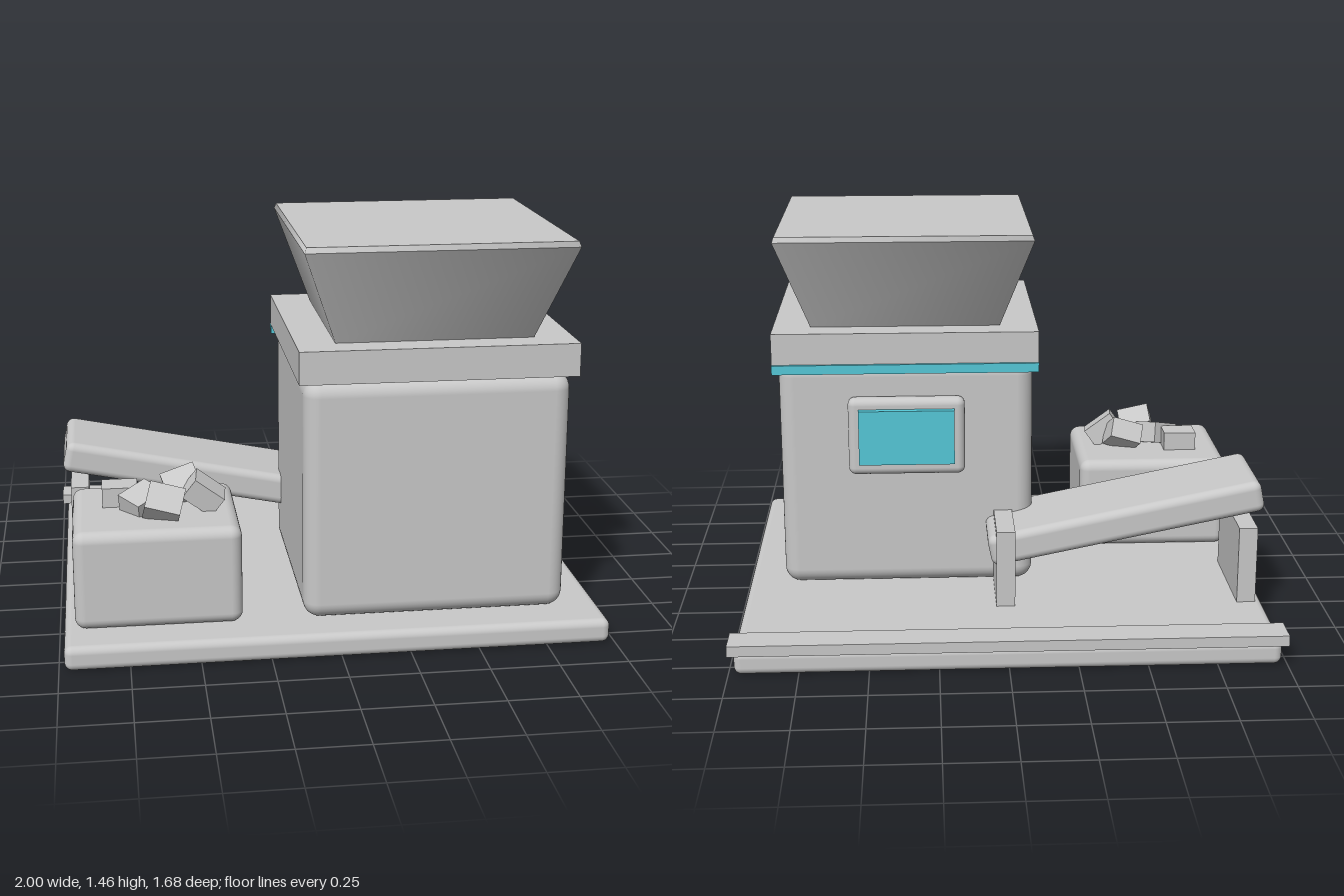
import * as THREE from 'three';
import { RoundedBoxGeometry } from 'three/addons/geometries/RoundedBoxGeometry.js';

export function createModel() {
  const model = new THREE.Group();
  model.name = 'crusherMachine';
  const grey = new THREE.MeshStandardMaterial({ name: 'lightGrey', color: 0xc8c8c8 });
  const cyan = new THREE.MeshStandardMaterial({ name: 'cyan', color: 0x55c8d8 });

  const add = (name, geometry, material, x, y, z) => {
    const mesh = new THREE.Mesh(geometry, material);
    mesh.name = name;
    mesh.position.set(x, y, z);
    model.add(mesh);
    return mesh;
  };
  // Box given by its lower and upper corners, rounded when r > 0
  const block = (name, [x0, y0, z0], [x1, y1, z1], r = 0, material = grey) => {
    const size = [x1 - x0, y1 - y0, z1 - z0];
    const geometry = r ? new RoundedBoxGeometry(...size, 4, r) : new THREE.BoxGeometry(...size);
    return add(name, geometry, material, (x0 + x1) / 2, (y0 + y1) / 2, (z0 + z1) / 2);
  };

  // Floor plate and rear rail
  block('basePlate', [-0.98, 0, -0.825], [0.98, 0.09, 0.84], 0.028);
  block('rearRail', [-1, 0.08, -0.84], [1, 0.12, -0.72]);

  // Main housing with collar and accent strip
  block('housing', [-0.12, 0.09, -0.2], [0.84, 0.98, 0.71], 0.06);
  block('collar', [-0.14, 0.975, -0.22], [0.86, 1.095, 0.72]);
  block('accentStrip', [-0.14, 0.942, -0.232], [0.86, 0.977, -0.195], 0, cyan);

  // Four-sided hopper and its bevelled rim
  const frustum = (top, bottom, height) =>
    new THREE.CylinderGeometry(top * Math.SQRT2, bottom * Math.SQRT2, height, 4).rotateY(Math.PI / 4);
  add('hopper', frustum(0.482, 0.358, 0.345), grey, 0.36, 1.2675, 0.25);
  add('hopperRim', frustum(0.475, 0.482, 0.02), grey, 0.36, 1.45, 0.25);

  // Control screen on the back
  block('screenFrame', [0.14, 0.55, -0.255], [0.58, 0.85, -0.19], 0.028);
  block('screen', [0.18, 0.6, -0.282], [0.54, 0.81, -0.25], 0, cyan);

  // Sloping conveyor on two supports
  const conveyor = add('conveyor', new RoundedBoxGeometry(1.045, 0.12, 0.39, 4, 0.03), grey, -0.458, 0.4, -0.24);
  conveyor.rotation.z = -0.2;
  for (const x of [-0.915, -0.005]) {
    block('conveyorSupport', [x - 0.035, 0.08, -0.45], [x + 0.035, 0.385, -0.03]);
  }

  // Bin with a pile of rubble
  block('bin', [-0.94, 0.09, 0.16], [-0.34, 0.455, 0.7], 0.04);
  const rubble = [
    [-0.765, 0.485, 0.365, 0, 0, 0],
    [-0.685, 0.485, 0.458, 0.25, 0.7, 0.1],
    [-0.533, 0.51, 0.363, 0.6, 0.25, 0.2],
    [-0.61, 0.51, 0.553, 0.75, -0.25, -0.1],
    [-0.46, 0.51, 0.455, 0.1, -0.1, -0.63],
  ];
  for (const [x, y, z, rx, ry, rz] of rubble) {
    add('rubble', new THREE.BoxGeometry(0.13, 0.085, 0.11), grey, x, y, z).rotation.set(rx, ry, rz);
  }
  return model;
}
